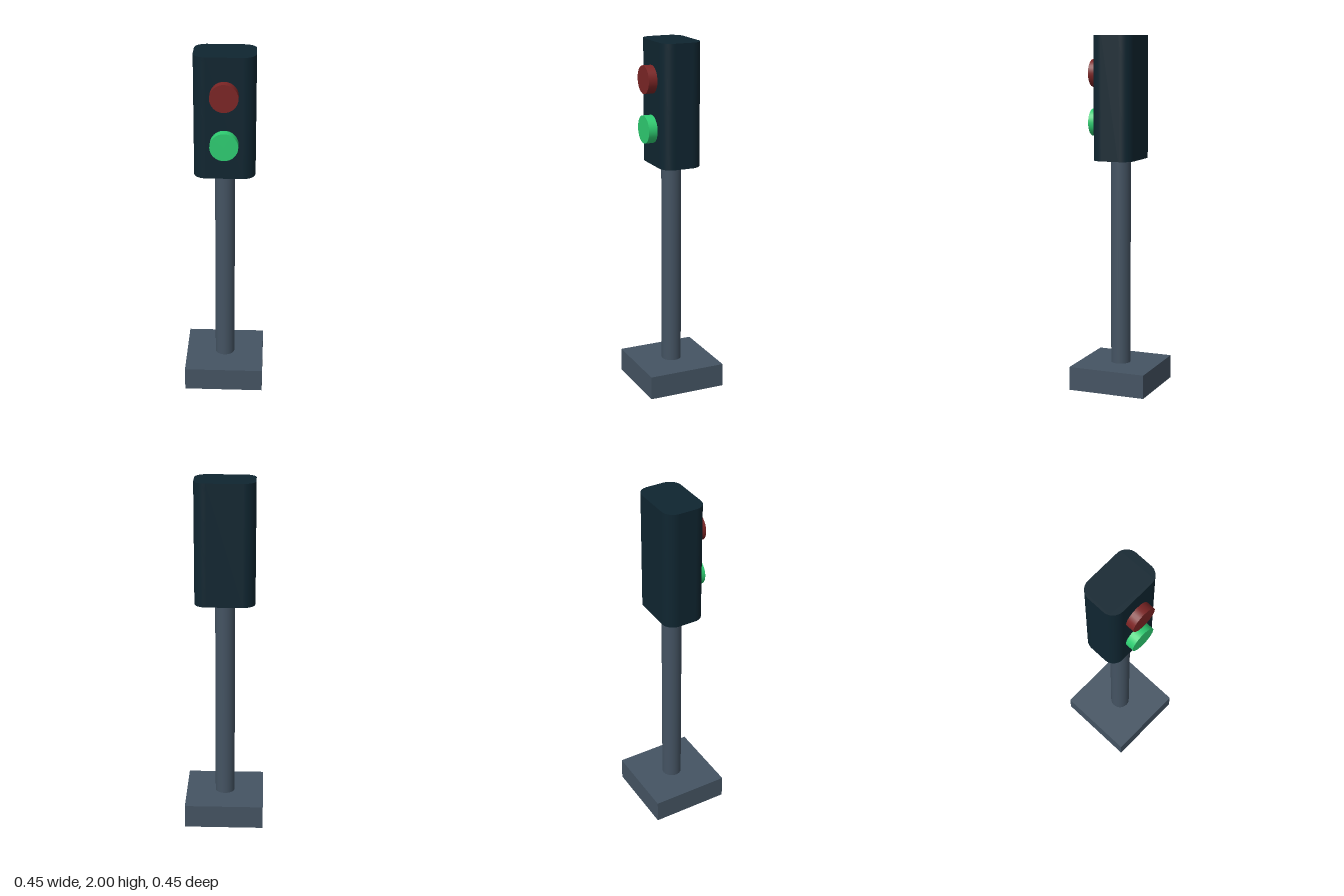
import * as THREE from 'three';

const mat = (name, color) => {
  const m = new THREE.MeshStandardMaterial({ color });
  m.name = name;
  return m;
};

// Rectangle outline with rounded corners, centred on the origin
function roundedRect(w, h, r) {
  const x = w / 2, y = h / 2, s = new THREE.Shape();
  s.moveTo(-x + r, -y);
  s.lineTo(x - r, -y);
  s.absarc(x - r, -y + r, r, -Math.PI / 2, 0);
  s.lineTo(x, y - r);
  s.absarc(x - r, y - r, r, 0, Math.PI / 2);
  s.lineTo(-x + r, y);
  s.absarc(-x + r, y - r, r, Math.PI / 2, Math.PI);
  s.lineTo(-x, -y + r);
  s.absarc(-x + r, -y + r, r, Math.PI, Math.PI * 1.5);
  return s;
}

// Smooth normals around the vertical corners of the housing, flat caps
function smoothSides(geo, w, d, r) {
  const p = geo.attributes.position, n = geo.attributes.normal;
  const cx = w / 2 - r, cz = d / 2 - r;
  for (let i = 0; i < p.count; i++) {
    if (Math.abs(n.getY(i)) > 0.5) continue;
    const dx = p.getX(i) - THREE.MathUtils.clamp(p.getX(i), -cx, cx);
    const dz = p.getZ(i) - THREE.MathUtils.clamp(p.getZ(i), -cz, cz);
    const l = Math.hypot(dx, dz) || 1;
    n.setXYZ(i, dx / l, 0, dz / l);
  }
  return geo;
}

export function createModel() {
  const group = new THREE.Group();
  group.name = 'trafficLight';
  const steel = mat('slate grey', 0x445362);
  const dark = mat('dark navy', 0x0f2530);
  const red = mat('dull red', 0x7b2525);
  const green = mat('bright green', 0x2ecc71);

  const add = (name, geo, material, x, y, z) => {
    const mesh = new THREE.Mesh(geo, material);
    mesh.name = name;
    mesh.position.set(x, y, z);
    group.add(mesh);
  };

  // Square foot and round pole
  add('base', new THREE.BoxGeometry(0.45, 0.134, 0.45), steel, 0, 0.067, 0);
  add('pole', new THREE.CylinderGeometry(0.056, 0.056, 1.2, 32), steel, 0, 0.72, 0);

  // Housing: rounded rectangle extruded upwards
  const w = 0.338, d = 0.235, r = 0.068;
  const housing = new THREE.ExtrudeGeometry(roundedRect(w, d, r), {
    depth: 0.69, bevelEnabled: false, curveSegments: 10,
  });
  housing.rotateX(-Math.PI / 2);
  add('housing', smoothSides(housing, w, d, r), dark, 0, 1.31, -0.001);

  // Two lamps protruding from the front
  const lamp = new THREE.CylinderGeometry(0.078, 0.078, 0.08, 32);
  lamp.rotateX(Math.PI / 2);
  add('redLamp', lamp, red, 0, 1.79, 0.127);
  add('greenLamp', lamp, green, 0, 1.514, 0.127);

  return group;
}
